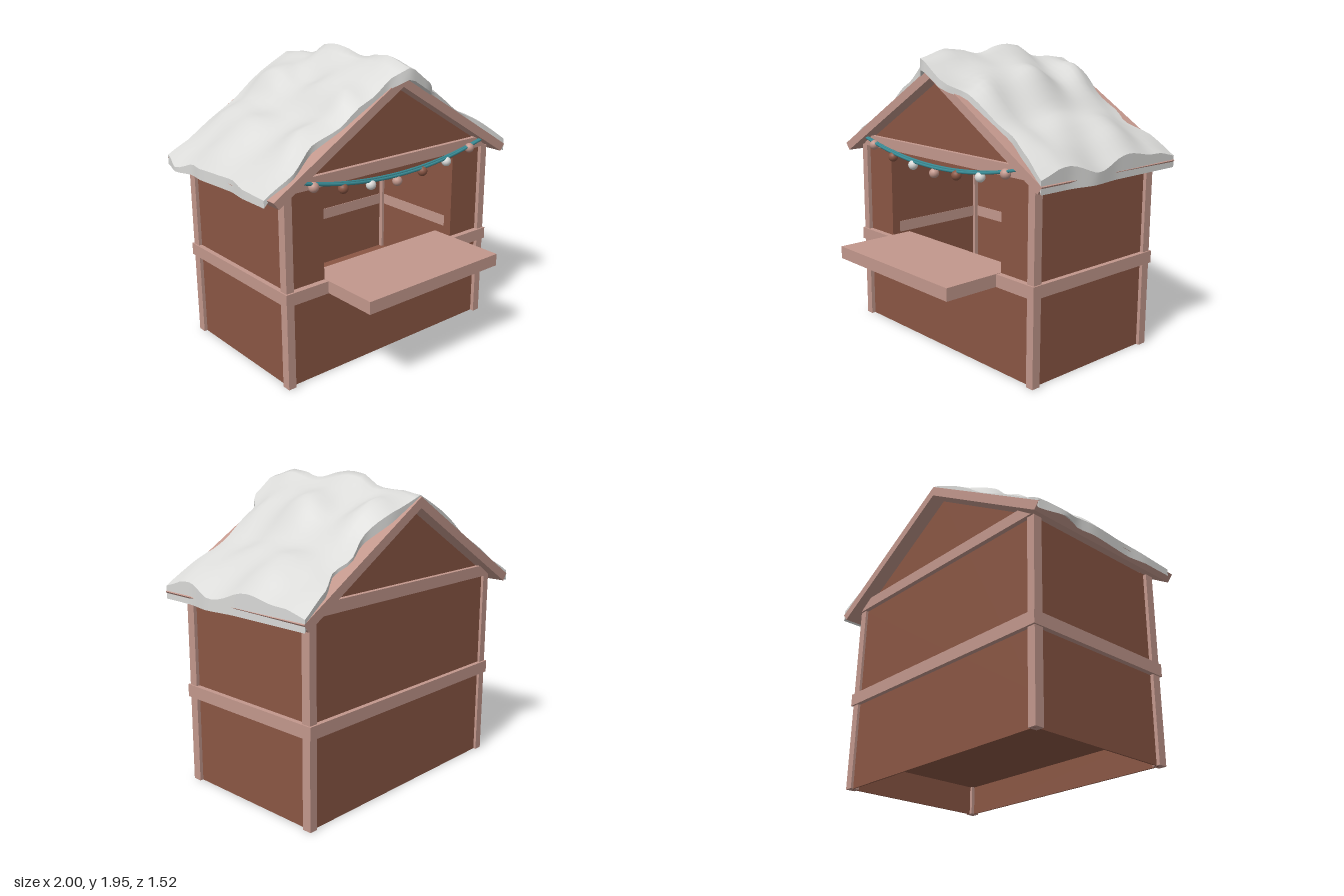
import * as THREE from 'three';

const mat = (name, color, side = THREE.FrontSide) => {
  const m = new THREE.MeshStandardMaterial({ color, side });
  m.name = name;
  return m;
};

// Smooth interpolation through [position, value] pairs
function along(table, t) {
  if (t <= table[0][0]) return table[0][1];
  for (let i = 1; i < table.length; i++) {
    const [a, va] = table[i - 1], [b, vb] = table[i];
    if (t <= b) {
      const k = (t - a) / (b - a);
      return va + (vb - va) * (0.5 * k + 0.5 * k * k * (3 - 2 * k));
    }
  }
  return table[table.length - 1][1];
}

const CX = 0.0125, SLOPE = 0.606, RIDGE = 1.83;
const roofTop = x => RIDGE - SLOPE * Math.abs(x - CX);

export function createModel() {
  const model = new THREE.Group();
  model.name = 'marketStall';
  const brown = mat('brown boards', 0x8a5644, THREE.DoubleSide);
  const pink = mat('light timber', 0xc2978c);
  const white = mat('snow white', 0xdadad8);
  const teal = mat('teal cord', 0x3a8c96);

  const add = (name, geometry, material) => {
    const mesh = new THREE.Mesh(geometry, material);
    mesh.name = name;
    model.add(mesh);
    return mesh;
  };
  const box = (name, x0, x1, y0, y1, z0, z1, material) => {
    const m = add(name, new THREE.BoxGeometry(x1 - x0, y1 - y0, z1 - z0), material);
    m.position.set((x0 + x1) / 2, (y0 + y1) / 2, (z0 + z1) / 2);
  };
  // Outline in x (about the centre line) and y, extruded from z0 to z1
  const slab = (name, pts, z0, z1, material, hole) => {
    const vec = p => new THREE.Vector2(p[0] + CX, p[1]);
    const shape = new THREE.Shape(pts.map(vec));
    if (hole) shape.holes.push(new THREE.Path(hole.map(vec)));
    const g = new THREE.ExtrudeGeometry(shape, { depth: z1 - z0, bevelEnabled: false });
    add(name, g.translate(0, 0, z0), material);
  };

  // Walls: gabled front with a serving hatch, gabled back, plain sides
  const gable = [[-0.83, 0.19], [0.83, 0.19], [0.83, 1.255], [0, 1.76], [-0.83, 1.255]];
  const hatch = [[-0.55, 0.64], [-0.55, 1.2], [0.55, 1.2], [0.55, 0.64]];
  slab('frontWall', gable, 0.28, 0.34, brown, hatch);
  slab('backWall', gable, -0.67, -0.66, brown);
  const L = CX - 0.83, R = CX + 0.83;
  box('frontSkirt', L, R, 0, 0.19, 0.33, 0.34, brown);
  box('backSkirt', L, R, 0, 0.19, -0.67, -0.66, brown);
  box('leftWall', R - 0.01, R, 0, 1.25, -0.66, 0.33, brown);
  box('rightWall', L, L + 0.01, 0, 1.25, -0.66, 0.33, brown);
  box('floor', L + 0.01, R - 0.01, 0.19, 0.2, -0.66, 0.33, brown);

  // Corner posts
  for (const s of [-1, 1]) for (const z of [0.3375, -0.6575]) {
    const x = CX + s * 0.826;
    box('cornerPost', x - 0.027, x + 0.027, 0, 1.245, z - 0.03, z + 0.03, pink);
  }

  // Waist rail around the stall, open at the hatch inside
  const A = CX - 0.8625, B = CX + 0.8625;
  box('frontRail', A, B, 0.56, 0.64, 0.335, 0.38, pink);
  box('backRail', A, B, 0.56, 0.64, -0.7, -0.655, pink);
  box('leftRail', B - 0.045, B, 0.56, 0.64, -0.655, 0.335, pink);
  box('rightRail', A, A + 0.045, 0.56, 0.64, -0.655, 0.335, pink);
  box('counter', CX - 0.549, CX + 0.549, 0.561, 0.642, 0.2, 0.76, pink);

  // Tie beams under the gables
  const tie = [[-0.84, 1.245], [0.84, 1.245], [0.735, 1.318], [-0.735, 1.318]];
  slab('frontTieBeam', tie, 0.33, 0.37, pink);
  slab('backTieBeam', tie, -0.7, -0.65, pink);

  // Pitched roof
  slab('roof', [[0, RIDGE], [-0.965, 1.245], [-0.93, 1.2], [0, 1.764], [0.93, 1.2], [0.965, 1.245]],
    -0.76, 0.43, pink);

  // Snow blanket: a divided box draped over the roof
  const front = [[-0.97, 0.36], [-0.8, 0.4], [-0.62, 0.34], [-0.4, 0.39], [-0.1, 0.42], [0.01, 0.495],
    [0.19, 0.49], [0.29, 0.38], [0.65, 0.35], [0.8, 0.39], [0.97, 0.43]];
  const back = [[-0.95, -0.76], [-0.82, -0.72], [-0.5, -0.74], [0, -0.75], [0.2, -0.73], [0.42, -0.66],
    [0.55, -0.7], [0.65, -0.66], [0.8, -0.74], [0.97, -0.76]];
  const rightEdge = [[-0.75, -0.95], [-0.56, -1], [-0.42, -0.955], [-0.3, -0.97], [0.05, -0.95],
    [0.2, -0.97], [0.43, -0.97]];
  const leftEdge = [[-0.75, 0.97], [-0.2, 0.975], [0.02, 1], [0.2, 0.97], [0.43, 0.97]];
  const ridgeDepth = [[-0.75, 0.01], [-0.6, 0.035], [-0.44, 0.04], [-0.3, 0.12], [-0.2, 0.13],
    [0.05, 0.075], [0.3, 0.12], [0.5, 0.065]];
  const slopeDepth = [[-1, 0.03], [-0.86, 0.08], [-0.63, 0.12], [-0.45, 0.06], [-0.31, 0.14], [-0.17, 0.11],
    [0, 0.1], [0.34, 0.18], [0.55, 0.08], [0.71, 0.13], [0.83, 0.13], [1, 0.09]];
  const snow = new THREE.BoxGeometry(2, 2, 2, 44, 1, 26);
  const p = snow.attributes.position;
  for (let i = 0; i < p.count; i++) {
    const u = (p.getX(i) + 1) / 2, v = (p.getZ(i) + 1) / 2, top = p.getY(i) > 0;
    const zr = -0.75 + v * 1.18;
    const x = THREE.MathUtils.lerp(along(rightEdge, zr), along(leftEdge, zr), u);
    const z = THREE.MathUtils.lerp(along(back, x), along(front, x), v);
    let y = roofTop(x) - 0.006;
    if (u < 0.001 || u > 0.999) y = top ? y : 1.2;
    if (top) {
      const wave = 0.72 + 0.2 * Math.sin(z * 9 + x * 4 + 1) + 0.12 * Math.sin(z * 15 - x * 7);
      const rim = 0.4 + 0.6 * Math.min(1, 8 * Math.min(v, 1 - v));
      const w = Math.max(0, 1 - Math.abs(x - CX) / 0.22);
      y += 0.006 + THREE.MathUtils.lerp(along(slopeDepth, x) * wave * rim, along(ridgeDepth, z), w);
    }
    p.setXYZ(i, x, y, z);
  }
  snow.computeVertexNormals();
  add('snowBlanket', snow, white);

  // Garland: sagging cord with hanging baubles
  for (const [sag, z] of [[0.09, 0.39], [0.1, 0.402]]) {
    const pts = [];
    for (let i = 0; i <= 8; i++) {
      const t = i / 4 - 1;
      pts.push(new THREE.Vector3(CX + t * 0.75, 1.305 - sag * (1 - t * t), z));
    }
    add('garlandCord', new THREE.TubeGeometry(new THREE.CatmullRomCurve3(pts), 32, 0.009, 6), teal);
  }
  const baubleY = [1.17, 1.19, 1.213, 1.266];
  const baubleMats = [pink, brown, white];
  for (let i = -3; i <= 3; i++) {
    const m = add('bauble', new THREE.SphereGeometry(0.032, 16, 12), baubleMats[(i + 3) % 3]);
    m.position.set(CX - 0.01 + i * 0.218, baubleY[Math.abs(i)], 0.398);
  }
  return model;
}
